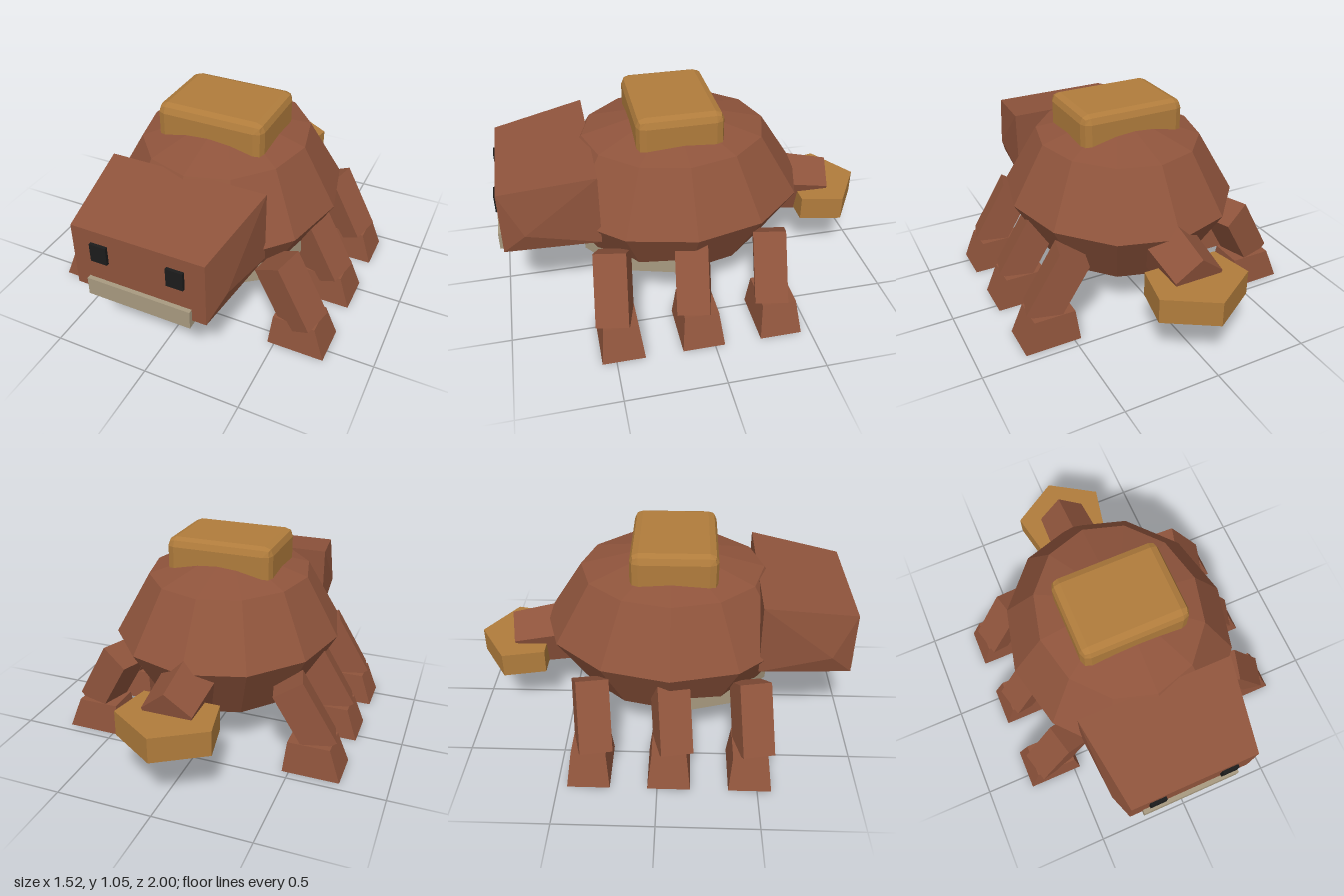
import * as THREE from 'three';
import { RoundedBoxGeometry } from 'three/addons/geometries/RoundedBoxGeometry.js';
import { ConvexGeometry } from 'three/addons/geometries/ConvexGeometry.js';

const mat = (color) => new THREE.MeshStandardMaterial({ color, flatShading: true });
const brown = mat(0x8f543c);
const gold = mat(0xb07c3c);
const beige = mat(0xa89a80);
const dark = mat(0x1c1c1c);

export function createModel() {
  const model = new THREE.Group();

  function add(name, geometry, material, x = 0, y = 0, z = 0, parent = model) {
    const mesh = new THREE.Mesh(geometry, material);
    mesh.name = name;
    mesh.position.set(x, y, z);
    parent.add(mesh);
    return mesh;
  }

  // Faceted body
  add('body', new THREE.SphereGeometry(1, 12, 4), brown, 0, 0.55, 0.055).scale.set(0.6, 0.44, 0.68);

  // Ten-sided belly plate, an edge facing forward
  const belly = add('belly', new THREE.CylinderGeometry(0.464, 0.464, 0.14, 10, 1, false, Math.PI / 10),
    beige, 0, 0.33, 0.132);
  belly.rotation.x = 0.03;

  // Chamfered plate on the back
  add('backPlate', new RoundedBoxGeometry(0.57, 0.3, 0.44, 1, 0.045), gold, 0, 0.905, 0.067);

  // Head: tapered block with a ridge on each cheek
  const headPoints = [];
  for (const s of [-1, 1]) {
    headPoints.push(
      new THREE.Vector3(s * 0.335, 0.775, 0.978),
      new THREE.Vector3(s * 0.335, 0.44, 0.978),
      new THREE.Vector3(s * 0.385, 0.555, 0.865),
      new THREE.Vector3(s * 0.408, 0.855, 0.5),
      new THREE.Vector3(s * 0.408, 0.48, 0.5));
  }
  add('head', new ConvexGeometry(headPoints), brown);
  add('mouth', new THREE.BoxGeometry(0.53, 0.095, 0.23), beige, 0, 0.457, 0.885);
  for (const s of [-1, 1]) {
    add(s > 0 ? 'leftEye' : 'rightEye', new THREE.BoxGeometry(0.085, 0.095, 0.06), dark, s * 0.193, 0.662, 0.964);
  }

  // Foot: block narrowing to an off-centre top
  function footGeometry(s) {
    const g = new THREE.BoxGeometry(1, 0.165, 1);
    const p = g.attributes.position;
    for (let i = 0; i < p.count; i++) {
      const top = p.getY(i) > 0;
      const outer = p.getX(i) * s > 0;
      const x = outer ? (top ? 0.7 : 0.76) : (top ? 0.482 : 0.465);
      p.setXYZ(i, s * x, p.getY(i) + 0.0825, p.getZ(i) * (top ? 0.175 : 0.215));
    }
    g.computeVertexNormals();
    return g;
  }

  // Three pairs of splayed legs
  const rows = { front: 0.463, middle: 0.058, rear: -0.345 };
  for (const [row, z] of Object.entries(rows)) {
    for (const s of [-1, 1]) {
      const leg = new THREE.Group();
      leg.name = row + (s > 0 ? 'LeftLeg' : 'RightLeg');
      leg.position.z = z;
      model.add(leg);
      const thigh = add('upperLeg', new THREE.BoxGeometry(0.165, 0.363, 0.165), brown, s * 0.5425, 0.2925, 0.008, leg);
      thigh.rotation.set(-0.08, s * -0.3, s * 0.52, 'XZY');
      add('foot', footGeometry(s), brown, 0, 0, 0, leg);
    }
  }

  // Five-sided tail sloping down to the rear
  const tail = new THREE.Group();
  tail.name = 'tail';
  tail.position.set(0, 0.425, -0.62);
  tail.rotation.x = -Math.PI / 2 - 0.2;
  tail.scale.x = 0.85;
  model.add(tail);
  add('tailStem', new THREE.CylinderGeometry(0.16, 0.178, 0.34, 5), brown, 0, 0, 0, tail);

  // Pointed slab at the tail's end
  const outline = new THREE.Shape([[0, 1], [-0.245, 0.845], [-0.2, 0.625], [0.2, 0.625], [0.245, 0.845]]
    .map(([x, y]) => new THREE.Vector2(x, y)));
  const club = new THREE.ExtrudeGeometry(outline, { depth: 0.13, bevelEnabled: false });
  club.rotateX(-Math.PI / 2);
  add('tailClub', club, gold, 0, 0.295, 0);

  return model;
}
